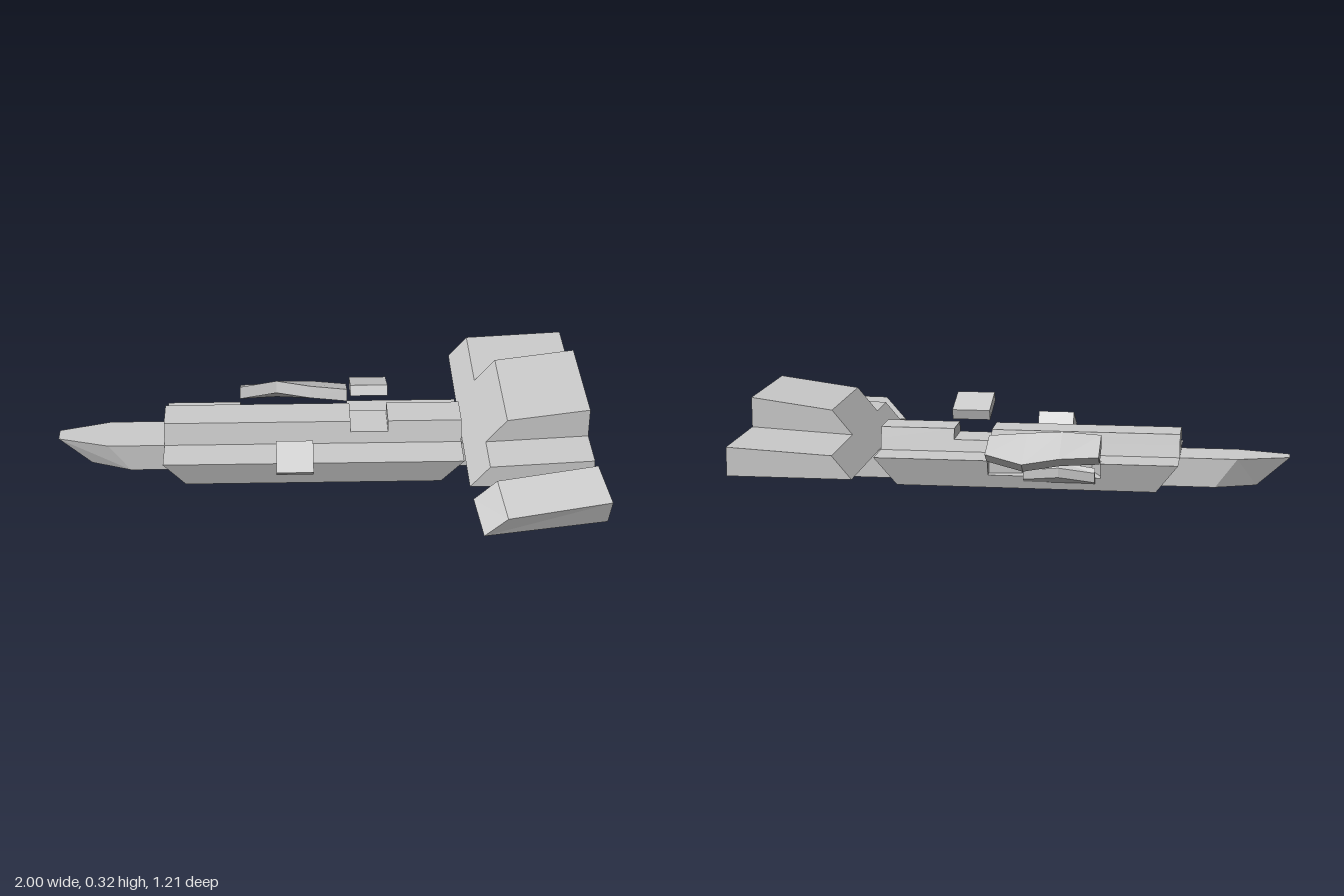
import * as THREE from 'three';

const material = new THREE.MeshStandardMaterial({ color: 0xcccccc, flatShading: true });
const MID = -0.042; // z of the hull's own centreline

// Solid skinned over rings of [x, y, z] points, closed with a fan at each end
function loft(rings) {
  const n = rings[0].length;
  const last = rings.length - 1;
  const tris = [];
  for (let r = 0; r < last; r++) {
    for (let i = 0; i < n; i++) {
      const j = (i + 1) % n;
      const [a, b, c, d] = [rings[r][i], rings[r][j], rings[r + 1][j], rings[r + 1][i]];
      tris.push([a, b, c], [a, c, d]);
    }
  }
  for (let i = 1; i < n - 1; i++) {
    tris.push([rings[0][0], rings[0][i + 1], rings[0][i]]);
    tris.push([rings[last][0], rings[last][i], rings[last][i + 1]]);
  }
  // Turn the faces outward if the enclosed volume is negative
  const v = (p) => new THREE.Vector3(...p);
  const volume = tris.reduce((s, t) => s + v(t[0]).dot(v(t[1]).cross(v(t[2]))), 0);
  if (volume < 0) tris.forEach((t) => t.reverse());
  const geometry = new THREE.BufferGeometry();
  geometry.setAttribute('position', new THREE.Float32BufferAttribute(tris.flat(2), 3));
  geometry.computeVertexNormals();
  return geometry;
}

// Section of [z, y] points run straight along x
const alongX = (section, x0, x1) =>
  loft([x0, x1].map((x) => section.map(([z, y]) => [x, y, z])));

// Profile of [x, y] points run straight along z
const alongZ = (profile, z0, z1) =>
  loft([z0, z1].map((z) => profile.map(([x, y]) => [x, y, z])));

// Layer of the hull: an [x, z] outline whose outer edges draw in towards the bottom
function hullLayer(outline, y0, y1) {
  const shape = new THREE.Shape(outline.map(([x, z]) => new THREE.Vector2(x, -z)));
  const geometry = new THREE.ExtrudeGeometry(shape, { depth: y1 - y0, bevelEnabled: false });
  geometry.rotateX(-Math.PI / 2).translate(0, y0, 0);
  const p = geometry.attributes.position;
  for (let i = 0; i < p.count; i++) {
    const drop = 1 - p.getY(i) / 0.107;
    const x = p.getX(i);
    const z = p.getZ(i);
    if (x < -0.599 || x > 0.509) p.setX(i, x - Math.sign(x) * 0.08 * drop);
    if (z > 0.179 || z < -0.264) p.setZ(i, z - Math.sign(z) * 0.034 * drop);
  }
  geometry.computeVertexNormals();
  return geometry;
}

export function createModel() {
  const model = new THREE.Group();
  const add = (name, geometry) => {
    const mesh = new THREE.Mesh(geometry, material);
    mesh.name = name;
    model.add(mesh);
  };

  // Hull: whole lower layer, upper layer with a bite out of each side
  add('lowerHull', hullLayer(
    [[-0.6, 0.18], [0.51, 0.18], [0.51, -0.265], [-0.6, -0.265]], 0, 0.05));
  add('upperHull', hullLayer([
    [-0.6, 0.18], [-0.18, 0.18], [-0.18, 0.045], [-0.05, 0.045], [-0.05, 0.18], [0.51, 0.18],
    [0.51, -0.265], [0.09, -0.265], [0.09, -0.215], [-0.03, -0.2], [-0.05, -0.13],
    [-0.28, -0.13], [-0.32, -0.22], [-0.32, -0.265], [-0.6, -0.265],
  ], 0.05, 0.107));

  // Keel with a pointed nose, longer at the top than at the bottom
  const keelRing = (y, tip, shoulder, tail) => [
    [tip, y, MID - 0.03], [shoulder, y, MID - 0.086], [tail, y, MID - 0.086],
    [tail, y, MID + 0.086], [shoulder, y, MID + 0.086], [tip, y, MID + 0.03],
  ];
  add('keel', loft([keelRing(0, -0.88, -0.73, 0.88), keelRing(0.107, -1, -0.81, 0.96)]));

  // Raised deck, stepped down where a block is missing
  const deckSection = (y0, y1) => {
    const half = (y) => 0.086 - (y - 0.107) * 0.24;
    return [[MID - half(y0), y0], [MID + half(y0), y0], [MID + half(y1), y1], [MID - half(y1), y1]];
  };
  add('deckBase', alongX(deckSection(0.107, 0.15), -0.6, 0.51));
  add('deckFront', alongX(deckSection(0.15, 0.19), -0.6, 0.095));
  add('deckRear', alongX(deckSection(0.15, 0.19), 0.235, 0.51));

  // Wing and its thicker centre
  add('wing', alongZ([[0.96, 0.107], [0.515, 0.107], [0.585, 0.19], [0.96, 0.21]], -0.61, 0.35));
  add('wingCentre', alongZ(
    [[0.96, 0.107], [0.515, 0.107], [0.585, 0.19], [0.66, 0.28], [0.96, 0.32]], -0.265, 0.18));

  // Wing tip, broken away and drooping
  add('brokenWingTip', loft([
    [[0.52, 0.107, 0.43], [0.6, 0.193, 0.445], [0.967, 0.21, 0.382], [0.96, 0.11, 0.35]],
    [[0.545, 0.058, 0.59], [0.625, 0.137, 0.603], [1, 0.155, 0.537], [0.993, 0.056, 0.508]],
  ]));

  // Blocks thrown out of the deck and the hull side
  add('deckFragment', alongX(
    [[-0.15, 0.235], [-0.01, 0.28], [-0.028, 0.315], [-0.162, 0.272]], 0.095, 0.233));
  add('sideFragment', alongX(
    [[0.152, 0.155], [0.252, 0.105], [0.293, 0.14], [0.18, 0.205]], -0.182, -0.047));

  // Jagged shard floating off the other side: [x, inner z, outer z, inner y, outer y]
  const shardStations = [
    [-0.32, -0.215, -0.33, 0.203, 0.145], [-0.18, -0.235, -0.35, 0.216, 0.14],
    [-0.05, -0.215, -0.39, 0.203, 0.125], [0.09, -0.21, -0.33, 0.19, 0.145],
  ];
  add('hullShard', loft(shardStations.map(([x, zi, zo, yi, yo]) => [
    [x, yi, zi], [x, yo, zo], [x, yo - 0.035, zo + 0.045], [x, yi - 0.045, zi + 0.012],
  ])));

  // Splinter left on the hull side below the shard
  const splinterStations = [[-0.3, -0.255, 0.07], [-0.17, -0.275, 0.09], [-0.04, -0.255, 0.075]];
  add('hullSplinter', loft(splinterStations.map(([x, z, y]) => [
    [x, 0.025, -0.236], [x, y - 0.035, z], [x, y, z], [x, y + 0.015, -0.24],
  ])));

  return model;
}
